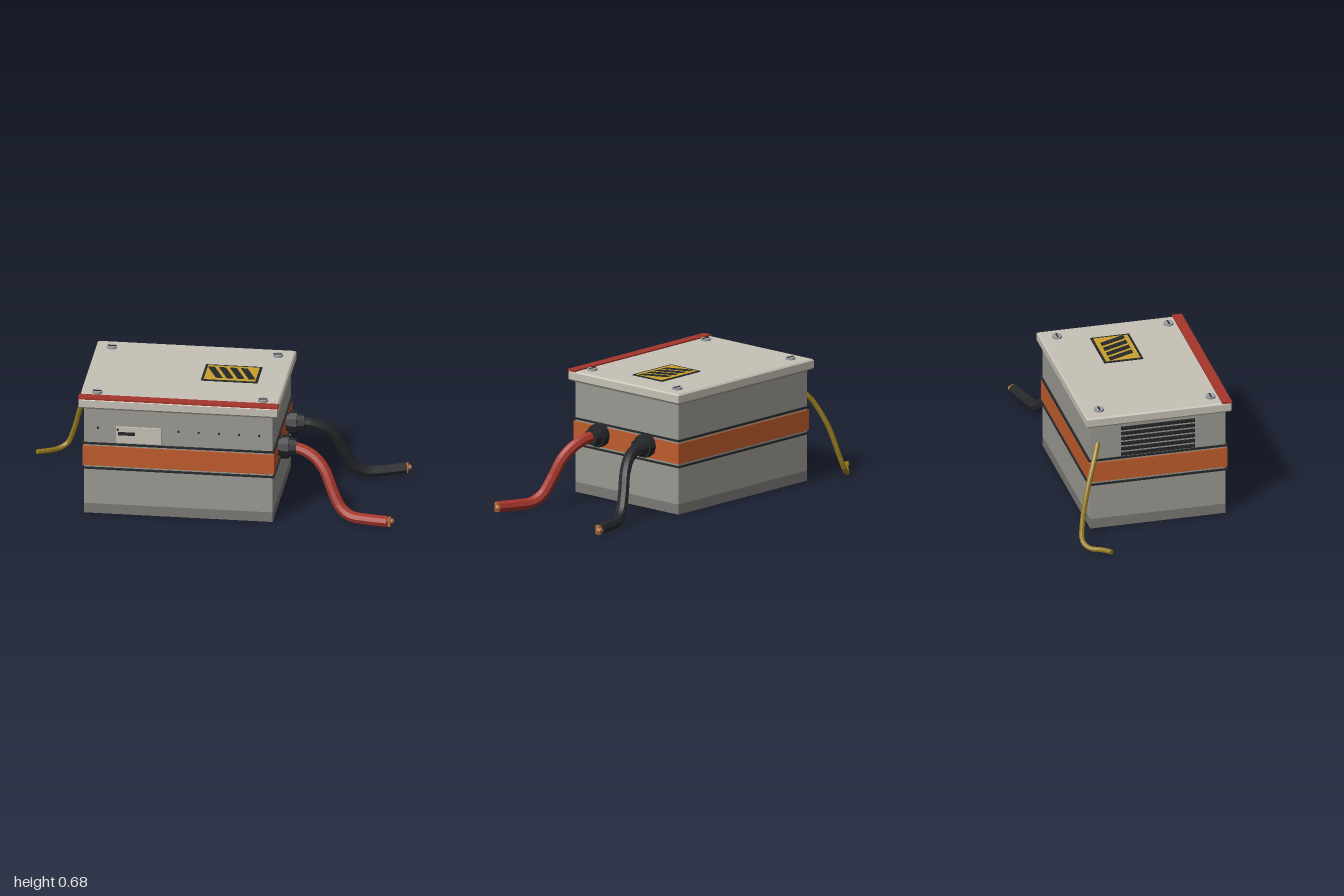
import * as THREE from 'three';

const CX = -0.15, CZ = 0.04; // centre of the case

const mat = (color) => new THREE.MeshStandardMaterial({ color, flatShading: true });
const M = {
  body: mat(0x9a9992), skirt: mat(0x7a7974), lid: mat(0xc8c2b6), orange: mat(0xc05c2c),
  red: mat(0xa5352a), black: mat(0x25272a), yellow: mat(0xc9a22e), wire: mat(0x94791f),
  copper: mat(0xb87040), steel: mat(0x9a9ea2), under: mat(0x55544f),
};

export function createModel() {
  const root = new THREE.Group();

  const add = (name, geo, material, x = 0, y = 0, z = 0, parent = root) => {
    const mesh = new THREE.Mesh(geo, material);
    mesh.name = name;
    mesh.position.set(x, y, z);
    parent.add(mesh);
    return mesh;
  };
  const group = (name) => {
    const g = new THREE.Group();
    g.name = name;
    root.add(g);
    return g;
  };
  // Box centred on the case between two heights
  const layer = (name, w, d, y0, y1, material) =>
    add(name, new THREE.BoxGeometry(w, y1 - y0, d), material, CX, (y0 + y1) / 2, CZ);
  // Cylinder lying along x, from x0 to x1
  const rod = (name, r0, r1, x0, x1, y, z, sides, material, parent) => {
    const geo = new THREE.CylinderGeometry(r1, r0, x1 - x0, sides).rotateZ(-Math.PI / 2);
    return add(name, geo, material, (x0 + x1) / 2, y, z, parent);
  };

  // Case, stacked from the bottom up
  layer('skirt', 1.0, 0.736, 0.01, 0.065, M.skirt);
  layer('body', 1.0, 0.736, 0.065, 0.605, M.body);
  layer('lidGasket', 1.006, 0.742, 0.605, 0.618, M.skirt);
  layer('band', 1.014, 0.752, 0.285, 0.395, M.orange);
  layer('lowerTrim', 1.02, 0.758, 0.265, 0.274, M.black);
  layer('upperTrim', 1.02, 0.758, 0.406, 0.415, M.black);

  // Lid with chamfered edges
  const c = 0.008, lw = 1.054 / 2 - c, ld = 0.787 / 2 - c;
  const lidShape = new THREE.Shape([
    new THREE.Vector2(-lw, -ld), new THREE.Vector2(lw, -ld),
    new THREE.Vector2(lw, ld), new THREE.Vector2(-lw, ld),
  ]);
  const lidGeo = new THREE.ExtrudeGeometry(lidShape, {
    depth: 0.055 - 2 * c, bevelEnabled: true, bevelSegments: 1, bevelSize: c, bevelThickness: c,
  }).rotateX(-Math.PI / 2);
  add('lid', lidGeo, M.lid, CX, 0.615 + c, CZ);
  add('lidEdgeStrip', new THREE.BoxGeometry(1.06, 0.01, 0.054), M.red, CX, 0.672, 0.409);

  // Slotted screws on the lid
  const screws = group('lidScrews');
  for (const x of [-0.59, 0.29]) for (const z of [-0.265, 0.34]) {
    add('screwHead', new THREE.CylinderGeometry(0.027, 0.027, 0.014, 12), M.steel, x, 0.674, z, screws);
    add('screwSlot', new THREE.BoxGeometry(0.044, 0.004, 0.007), M.black, x, 0.682, z, screws);
  }

  // Warning plate with slanted stripes
  const plate = group('warningPlate');
  add('plateFrame', new THREE.BoxGeometry(0.3, 0.004, 0.212), M.black, 0.08, 0.672, 0.005, plate);
  add('plateFace', new THREE.BoxGeometry(0.274, 0.004, 0.186), M.yellow, 0.08, 0.6735, 0.005, plate);
  const stripe = new THREE.Shape([
    new THREE.Vector2(0, 0.07), new THREE.Vector2(0.06, -0.07),
    new THREE.Vector2(0.097, -0.07), new THREE.Vector2(0.037, 0.07),
  ]);
  const stripeGeo = new THREE.ExtrudeGeometry(stripe, { depth: 0.002, bevelEnabled: false })
    .rotateX(-Math.PI / 2);
  for (let i = 0; i < 4; i++) add('stripe', stripeGeo, M.black, -0.055 + 0.058 * i, 0.675, 0.005, plate);

  // Row of rivets and the tag on the front
  const rivets = group('frontRivets');
  const rivetGeo = new THREE.CylinderGeometry(0.006, 0.006, 0.01, 8).rotateX(Math.PI / 2);
  for (let i = 0; i < 9; i++) add('rivet', rivetGeo, M.black, -0.577 + 0.107 * i, 0.5, 0.41, rivets);
  const tag = group('frontTag');
  add('tagPlate', new THREE.BoxGeometry(0.24, 0.09, 0.01), M.lid, -0.36, 0.47, 0.418, tag);
  add('tagBar', new THREE.BoxGeometry(0.09, 0.018, 0.004), M.black, -0.424, 0.478, 0.424, tag);
  add('tagRivet', rivetGeo, M.black, -0.47, 0.5, 0.424, tag);

  // Louvres on the right-hand end
  const vents = group('vents');
  for (let i = 0; i < 6; i++)
    add('louvre', new THREE.BoxGeometry(0.014, 0.018, 0.4), M.black, -0.651, 0.43 + 0.03 * i, CZ, vents);

  // Pads under the corners
  const feet = group('feet');
  for (const sx of [-1, 1]) for (const sz of [-1, 1])
    add('foot', new THREE.BoxGeometry(0.08, 0.01, 0.08), M.black, CX + sx * 0.42, 0.012, CZ + sz * 0.3, feet);
  add('underside', new THREE.BoxGeometry(0.99, 0.004, 0.726), M.under, CX, 0.011, CZ);

  const tube = (name, pts, r, sides, material, parent) => {
    const curve = new THREE.CatmullRomCurve3(pts.map((p) => new THREE.Vector3(...p)));
    add(name, new THREE.TubeGeometry(curve, 30, r, sides), material, 0, 0, 0, parent);
    // Flat caps at both ends
    for (const t of [0, 1]) {
      const dir = curve.getTangent(t).multiplyScalar(t ? 1 : -1);
      const cap = add(name + 'End', new THREE.CircleGeometry(r, sides), material, 0, 0, 0, parent);
      cap.position.copy(curve.getPoint(t));
      cap.quaternion.setFromUnitVectors(new THREE.Vector3(0, 0, 1), dir);
    }
  };

  // Power cables with glands and copper ends; side mirrors them across the case
  const powerCable = (name, z0, side, reach, material) => {
    const g = group(name);
    rod('glandFlange', 0.05, 0.05, 0.35, 0.375, 0.358, z0, 10, M.black, g);
    rod('glandNut', 0.063, 0.063, 0.372, 0.412, 0.358, z0, 10, M.black, g);
    rod('glandSleeve', 0.052, 0.044, 0.412, 0.452, 0.358, z0, 10, M.black, g);
    const path = [
      [0.4, 0.36, 0], [0.47, 0.355, 0.01], [0.545, 0.325, 0.03], [0.605, 0.265, 0.057],
      [0.655, 0.155, 0.09], [0.7, 0.075, 0.115], [0.755, 0.04, 0.138], [0.85, 0.037, 0.165],
      [0.963, 0.043, reach],
    ].map(([x, y, z]) => [x, y, z0 + side * z]);
    tube('cable', path, 0.031, 8, material, g);
    const zEnd = z0 + side * reach;
    add('lug', new THREE.BoxGeometry(0.018, 0.048, 0.028), M.copper, 0.965, 0.042, zEnd, g);
    rod('copperTip', 0.014, 0.014, 0.965, 0.985, 0.042, zEnd - 0.014, 8, M.copper, g);
    rod('tipPoint', 0.014, 0.004, 0.985, 0.992, 0.042, zEnd - 0.014, 8, M.copper, g);
  };
  powerCable('redCable', 0.205, 1, 0.195, M.red);
  powerCable('blackCable', -0.125, -1, 0.2, M.black);

  // Thin wire trailing from the rear corner
  tube('groundWire', [
    [-0.64, 0.505, -0.285], [-0.7, 0.435, -0.32], [-0.765, 0.29, -0.375], [-0.81, 0.13, -0.412],
    [-0.845, 0.045, -0.42], [-0.89, 0.021, -0.395], [-0.94, 0.028, -0.34], [-0.992, 0.036, -0.3],
  ], 0.014, 8, M.wire, group('groundLead'));

  return root;
}
